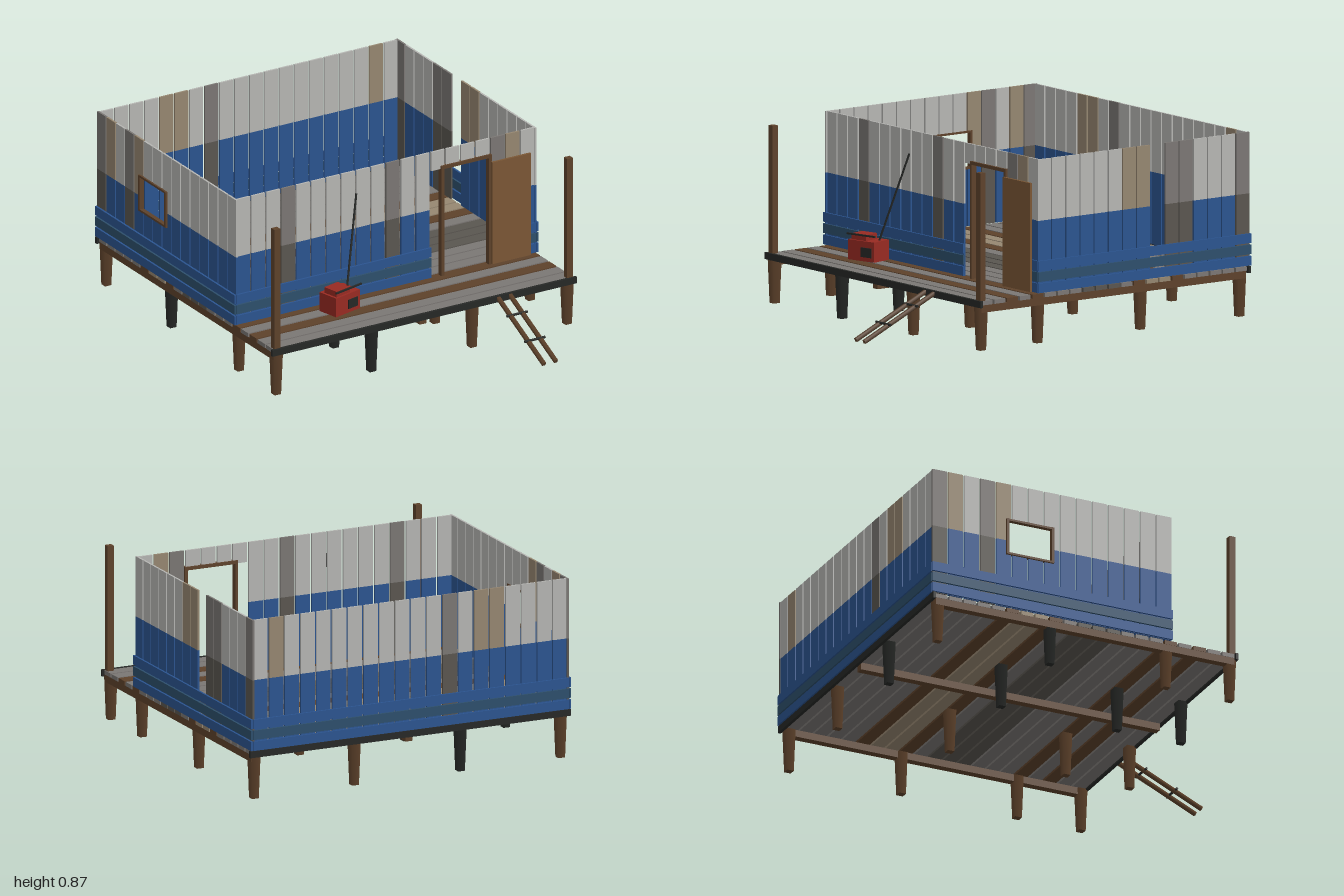
import * as THREE from 'three';

const mat = (name, color) => {
  const m = new THREE.MeshStandardMaterial({ color });
  m.name = name;
  return m;
};

export function createModel() {
  const root = new THREE.Group();
  root.name = 'stiltHut';
  const pale = mat('paleGreyPaint', 0xb6b6b3), blue = mat('bluePaint', 0x2b5490);
  const teal = mat('fadedBluePaint', 0x2d4f6c), grey = mat('greyWood', 0x7b7774);
  const dark = mat('darkGreyWood', 0x5a5650), tan = mat('tanWood', 0x968771);
  const brown = mat('brownWood', 0x5e422b), doorWood = mat('doorWood', 0x7b5735);
  const red = mat('redMetal', 0x982a22), black = mat('blackWood', 0x262826);

  // box given by its low and high corners
  const box = (parent, name, m, x0, x1, y0, y1, z0, z1) => {
    const mesh = new THREE.Mesh(new THREE.BoxGeometry(x1 - x0, y1 - y0, z1 - z0), m);
    mesh.position.set((x0 + x1) / 2, (y0 + y1) / 2, (z0 + z1) / 2);
    mesh.name = name;
    parent.add(mesh);
    return mesh;
  };
  // square or round bar between two points
  const bar = (parent, name, m, a, b, r, sides) => {
    const p = new THREE.Vector3(...a), q = new THREE.Vector3(...b);
    const g = new THREE.CylinderGeometry(r, r, p.distanceTo(q), sides);
    if (sides === 4) g.rotateY(Math.PI / 4);
    const mesh = new THREE.Mesh(g, m);
    mesh.position.copy(p).add(q).multiplyScalar(0.5);
    mesh.quaternion.setFromUnitVectors(new THREE.Vector3(0, 1, 0), q.sub(p).normalize());
    mesh.name = name;
    parent.add(mesh);
  };
  const group = (name, parent = root) => {
    const g = new THREE.Group();
    g.name = name;
    parent.add(g);
    return g;
  };

  // deck boards, coloured one by one
  const deck = group('deck');
  const key = { g: grey, b: brown, t: tan, d: dark };
  [...'gggggbttbgdddgggbgbgg'].forEach((c, i) => {
    const z = -0.975 + i * 0.0743;
    box(deck, 'deckBoard', key[c], -0.82, 0.82, 0.215, 0.235, z, z + 0.064);
  });
  for (const x of [-0.8, 0, 0.8]) box(deck, 'floorBeam', brown, x - 0.019, x + 0.019, 0.18, 0.2148, -0.97, 0.575);
  for (const z of [-0.99, 0.575]) box(deck, 'rimBoard', black, -0.832, 0.832, 0.205, 0.237, z, z + 0.015);

  // tapered legs
  const legs = group('legs');
  const legShape = new THREE.CylinderGeometry(0.033, 0.024, 0.212, 4).rotateY(Math.PI / 4);
  for (const x of [-0.795, -0.275, 0.275, 0.795])
    for (const z of [0.56, 0.23, -0.37, -0.95]) {
      const isBlack = x === -0.275 || (x < -0.5 && z === -0.37);
      const leg = new THREE.Mesh(legShape, isBlack ? black : brown);
      leg.position.set(x, 0.106, z);
      leg.name = 'leg';
      legs.add(leg);
    }

  // porch posts
  for (const x of [-0.8, 0.8]) box(root, 'porchPost', brown, x - 0.016, x + 0.016, 0.235, 0.84, 0.55, 0.58);

  // plank wall along local x facing local +z; hole is [u0, u1, v0, v1]
  const TOP = 0.87, PAINT = 0.58, BASE = 0.238, T = 0.005;
  function wall(name, length, count, gap, odd, hole, skirts, pos, turn) {
    const w = group(name);
    const pitch = length / count;
    const piece = (u0, u1, v0, v1, upper, lower) => {
      if (u1 - u0 < 0.003) return;
      if (v1 > PAINT) box(w, 'plankTop', upper, u0, u1, Math.max(v0, PAINT), v1, -T, T);
      if (v0 < PAINT) box(w, 'plankBottom', lower, u0, u1, v0, Math.min(v1, PAINT), -T, T);
    };
    for (let i = 0; i < count; i++) {
      const a = i * pitch + gap / 2, b = (i + 1) * pitch - gap / 2;
      const upper = odd[i] || pale, lower = upper === grey ? dark : blue;
      if (!hole || hole[1] <= a || hole[0] >= b) {
        piece(a, b, BASE, TOP, upper, lower);
        continue;
      }
      const l = Math.max(a, hole[0]), r = Math.min(b, hole[1]);
      piece(a, l, BASE, TOP, upper, lower);
      piece(r, b, BASE, TOP, upper, lower);
      if (hole[2] > BASE) piece(l, r, BASE, hole[2], upper, lower);
      if (hole[3] < TOP) piece(l, r, hole[3], TOP, upper, lower);
    }
    // three horizontal skirting boards
    for (const [u0, u1] of skirts)
      [blue, teal, blue].forEach((m, k) => {
        const y = 0.24 + k * 0.053;
        box(w, 'skirtBoard', m, u0, u1, y, y + 0.045, T, T + 0.01);
      });
    w.position.set(...pos);
    w.rotation.y = turn;
    return w;
  }
  const W = 1.636, D = 1.243, H = Math.PI / 2;
  wall('frontWall', W, 20, 0.009, { 3: grey, 10: grey, 17: grey, 18: tan },
    [1.064, 1.388, 0, 0.775], [[0, 1.064], [1.392, W]], [-0.818, 0, 0.235], 0);
  wall('backWall', W, 20, 0.009, { 1: tan, 12: grey, 14: tan, 15: tan },
    null, [[0, W]], [0.818, 0, -0.98], Math.PI);
  wall('leftWall', D, 15, 0.007, { 6: tan, 7: tan, 9: grey, 10: grey, 14: grey },
    [8 * D / 15, 9 * D / 15, 0, 1], [[0, D]], [0.816, 0, 0.25], H);
  const rightWall = wall('rightWall', D, 15, 0.007, { 0: grey, 1: tan, 3: grey, 4: tan },
    [0.395, 0.62, 0.515, 0.685], [[0, D]], [-0.816, 0, -0.993], -H);

  // window frame
  const win = group('windowFrame', rightWall);
  for (const u of [0.385, 0.618]) box(win, 'windowSide', brown, u, u + 0.012, 0.51, 0.69, -0.008, 0.016);
  for (const v of [0.508, 0.68]) box(win, 'windowRail', brown, 0.385, 0.63, v, v + 0.01, -0.008, 0.014);

  // doorway and the door swung flat against the wall
  const door = group('doorway');
  for (const x of [0.3, 0.56]) box(door, 'doorPost', brown, x, x + 0.015, 0.235, 0.775, 0.222, 0.25);
  box(door, 'doorHead', brown, 0.3, 0.575, 0.775, 0.791, 0.222, 0.25);
  box(door, 'doorPanel', doorWood, 0.57, 0.782, 0.24, 0.755, 0.251, 0.263);

  // ladder
  const ladder = group('ladder');
  for (const x of [0.403, 0.468]) bar(ladder, 'ladderRail', brown, [x, 0.228, 0.58], [x, 0.038, 0.995], 0.012, 4);
  for (const [y, z] of [[0.178, 0.7], [0.107, 0.858]]) bar(ladder, 'rung', black, [0.38, y, z], [0.493, y, z], 0.006, 6);

  // red machine on the porch
  const machine = group('machine');
  box(machine, 'machineBody', red, -0.078, 0.078, 0.25, 0.345, -0.055, 0.055);
  box(machine, 'machineTop', red, -0.066, 0.022, 0.345, 0.373, -0.035, 0.045);
  box(machine, 'machinePanel', black, 0.0, 0.062, 0.27, 0.315, 0.055, 0.06);
  box(machine, 'machineHandle', black, -0.082, 0.085, 0.369, 0.377, 0.054, 0.062);
  machine.position.set(-0.328, 0, 0.365);
  machine.rotation.y = 0.24;
  bar(root, 'leaningRod', black, [-0.275, 0.34, 0.345], [-0.166, 0.76, 0.25], 0.005, 6);

  return root;
}
